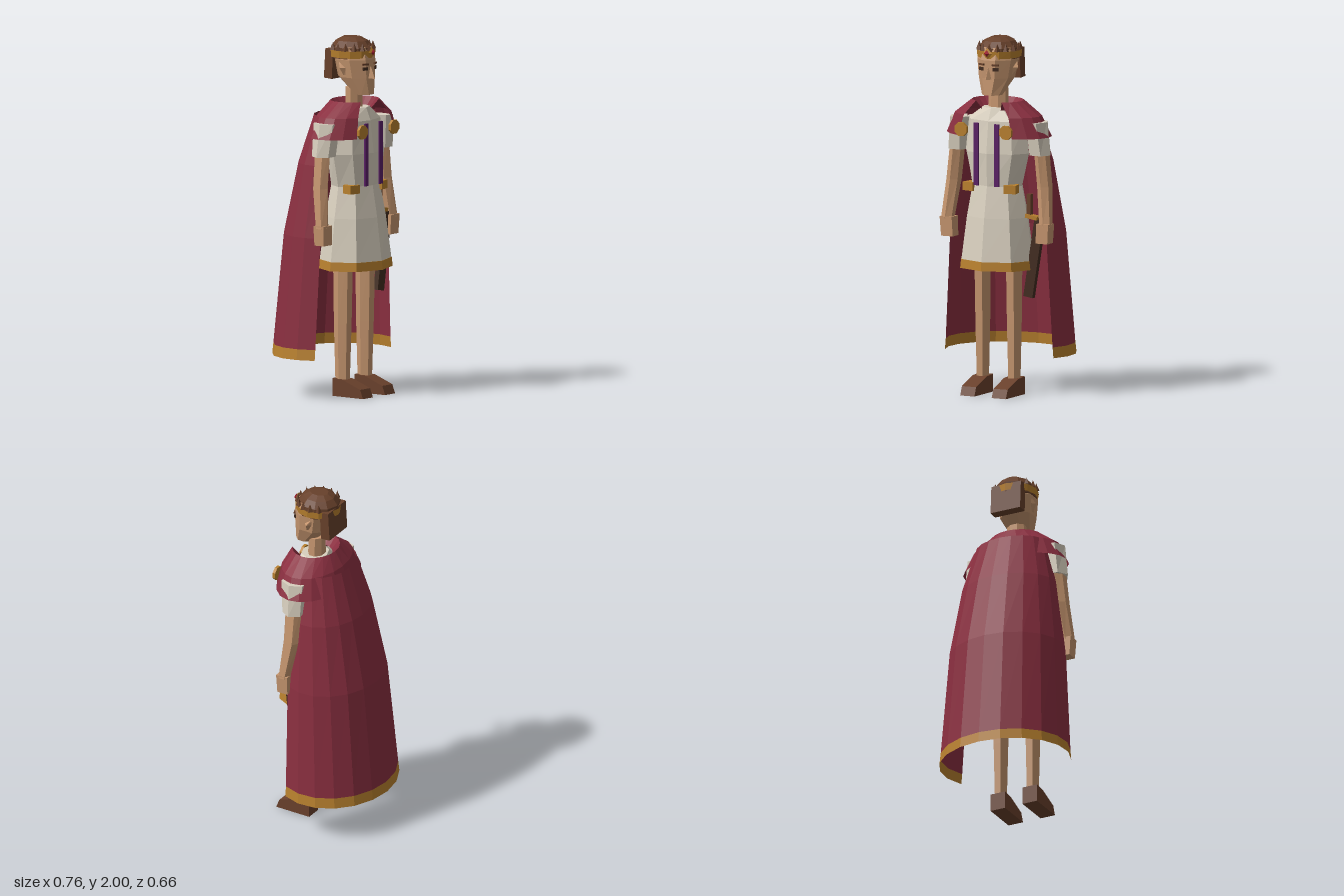
import * as THREE from 'three';

const mat = (name, color, open) => {
  const m = new THREE.MeshStandardMaterial({ color, flatShading: true });
  m.name = name;
  if (open) m.side = THREE.DoubleSide;
  return m;
};

// Skin through elliptical rings [y, radiusX, radiusZ, centreX, centreZ], listed bottom to top.
// A closed loft is capped; an arc (half-angle from the back) gives an open sheet.
function loft(rings, n, { phase = 0, arc = 0, cap = true } = {}) {
  const pos = [], idx = [], w = n + 1;
  for (const [y, a, b, cx = 0, cz = 0] of rings) {
    for (let j = 0; j <= n; j++) {
      const t = arc ? Math.PI - arc + (2 * arc * j) / n : phase + (2 * Math.PI * j) / n;
      pos.push(cx + a * Math.sin(t), y, cz + b * Math.cos(t));
    }
  }
  for (let i = 0; i < rings.length - 1; i++) {
    for (let j = 0; j < n; j++) {
      const p = i * w + j, q = p + w;
      idx.push(p, p + 1, q + 1, p, q + 1, q);
    }
  }
  if (cap && !arc) {
    const last = (rings.length - 1) * w;
    for (let j = 1; j < n - 1; j++) {
      idx.push(0, j + 1, j, last, last + j, last + j + 1);
    }
  }
  const g = new THREE.BufferGeometry();
  g.setAttribute('position', new THREE.Float32BufferAttribute(pos, 3));
  g.setIndex(idx);
  const flat = g.toNonIndexed();
  flat.computeVertexNormals();
  return flat;
}

export function createModel() {
  const root = new THREE.Group();
  root.name = 'cloakedRuler';

  const skin = mat('skin', 0xc6966f);
  const cloth = mat('tunic cloth', 0xd9d0bf);
  const red = mat('cloak red', 0x8a2f40, true);
  const gold = mat('gold', 0xb8802e, true);
  const purple = mat('purple', 0x5a1f66);
  const hair = mat('hair brown', 0x68412b);
  const leather = mat('shoe leather', 0x6a412c);
  const dark = mat('dark leather', 0x422c20);
  const gem = mat('gem red', 0xa01f30);

  const add = (name, geo, material, x = 0, y = 0, z = 0, rx = 0, ry = 0, rz = 0) => {
    const m = new THREE.Mesh(geo, material);
    m.name = name;
    m.position.set(x, y, z);
    m.rotation.set(rx, ry, rz);
    root.add(m);
    return m;
  };
  const box = (w, h, d) => new THREE.BoxGeometry(w, h, d);
  const deg = Math.PI / 180;

  // Tunic: bodice, flared skirt and gold hem
  add('bodice', loft([
    [1.17, 0.155, 0.12, 0, 0.14], [1.36, 0.2, 0.128, 0, 0.14],
    [1.54, 0.18, 0.105, 0, 0.14], [1.61, 0.085, 0.075, 0, 0.14],
  ], 8), cloth);
  add('skirt', loft([
    [0.76, 0.222, 0.183, 0, 0.14], [1.0, 0.19, 0.152, 0, 0.14], [1.18, 0.155, 0.12, 0, 0.14],
  ], 8), cloth);
  add('skirtHem', loft([[0.71, 0.23, 0.19, 0, 0.14], [0.76, 0.224, 0.185, 0, 0.14]], 8), gold);

  // Cloak: open sheet around the back, with a gold hem
  const hemTop = [0.28, 0.374, 0.313, 0, -0.011];
  add('cloak', loft([
    hemTop, [0.9, 0.336, 0.275, 0, 0.015],
    [1.3, 0.28, 0.211, 0, 0.041], [1.57, 0.21, 0.148, 0, 0.068],
  ], 12, { arc: 115 * deg }), red);
  add('cloakHem', loft([[0.22, 0.38, 0.317, 0, -0.013], hemTop], 12, { arc: 115 * deg }), gold);

  // Shoulder mantle, open at the chest: outer slope and inner collar
  add('mantle', loft([
    [1.455, 0.315, 0.198, 0, 0.118], [1.57, 0.26, 0.168, 0, 0.128], [1.65, 0.15, 0.125, 0, 0.135],
  ], 16, { arc: 147 * deg }), red);
  add('mantleCollar', loft([
    [1.6, 0.105, 0.085, 0, 0.135], [1.65, 0.15, 0.125, 0, 0.135],
  ], 16, { arc: 147 * deg }), red);

  // Parts in left and right pairs
  for (const s of [1, -1]) {
    const side = s > 0 ? 'left' : 'right';

    // Arm
    add(side + 'Sleeve', loft([
      [1.355, 0.068, 0.066, s * 0.257, 0.117], [1.54, 0.063, 0.078, s * 0.24, 0.125],
    ], 6, { phase: Math.PI / 6 }), cloth);
    add(side + 'Arm', loft([
      [0.96, 0.038, 0.036, s * 0.312, 0.148], [1.18, 0.041, 0.048, s * 0.288, 0.118],
      [1.42, 0.04, 0.052, s * 0.262, 0.115],
    ], 6), skin);
    add(side + 'Hand', loft([
      [0.865, 0.052, 0.046, s * 0.3, 0.146], [0.975, 0.054, 0.05, s * 0.306, 0.147],
    ], 4, { phase: Math.PI / 4 }), skin);

    // Leg
    add(side + 'Leg', loft([
      [0.08, 0.037, 0.042, s * 0.1, 0.127], [0.4, 0.044, 0.052, s * 0.1, 0.128],
      [0.8, 0.048, 0.06, s * 0.1, 0.13],
    ], 6, { phase: Math.PI / 6 }), skin);

    // Shoe: side profile extruded across the foot
    const profile = new THREE.Shape([
      [0.09, 0], [0.305, 0], [0.285, 0.05], [0.165, 0.094], [0.09, 0.1],
    ].map(([z, y]) => new THREE.Vector2(z, y)));
    const shoe = new THREE.ExtrudeGeometry(profile, { depth: 0.09, bevelEnabled: false });
    shoe.rotateY(-Math.PI / 2);
    add(side + 'Shoe', shoe, leather, s * 0.1 + 0.045);

    // Tunic stripe, belt end and cloak brooch
    add(side + 'Stripe', box(0.03, 0.35, 0.009), purple, s * 0.065, 1.355, 0.266);
    add(side + 'BeltEnd', box(0.07, 0.048, 0.065), gold, s * 0.127, 1.165, 0.21, 0, s * 0.2, 0);
    add(side + 'Brooch', new THREE.CylinderGeometry(0.041, 0.041, 0.016, 8), gold,
      s * 0.142, 1.493, 0.299, Math.PI / 2, Math.PI / 8, 0);

    // Face
    add(side + 'Eye', box(0.03, 0.018, 0.009), dark, s * 0.044, 1.832, 0.242, 0, s * 0.35, 0);
    add(side + 'Brow', box(0.04, 0.01, 0.009), hair, s * 0.044, 1.857, 0.244, 0, s * 0.35, 0);
    add(side + 'Ear', loft([
      [1.795, 0.006, 0.008, s * 0.095, 0.135], [1.835, 0.026, 0.026, s * 0.096, 0.125],
      [1.865, 0.008, 0.01, s * 0.098, 0.105],
    ], 4), skin);
  }

  // Head
  add('neck', loft([[1.57, 0.06, 0.048, 0, 0.13], [1.72, 0.056, 0.045, 0, 0.128]], 8,
    { phase: Math.PI / 8 }), skin);
  add('head', loft([
    [1.685, 0.058, 0.056, 0, 0.2], [1.78, 0.1, 0.108, 0, 0.146],
    [1.88, 0.115, 0.123, 0, 0.132], [1.95, 0.105, 0.11, 0, 0.125],
  ], 8, { phase: Math.PI / 8 }), skin);
  add('nose', loft([
    [1.775, 0.022, 0.032, 0, 0.243], [1.84, 0.005, 0.006, 0, 0.243],
  ], 4), skin);

  // Hair: cap, nape block and a ring of pointed locks
  add('hairCap', loft([
    [1.885, 0.117, 0.122, 0, 0.118], [1.945, 0.113, 0.12, 0, 0.116],
    [1.98, 0.085, 0.092, 0, 0.115], [2.0, 0.045, 0.055, 0, 0.115],
  ], 10), hair);
  add('napeHair', box(0.185, 0.165, 0.055), hair, 0, 1.848, 0.022, 0.06, 0, 0);
  for (let i = -5; i <= 5; i++) {
    const t = i * 24 * deg;
    add('lock', new THREE.ConeGeometry(0.018, 0.045, 4), hair,
      0.113 * Math.sin(t), 1.952, 0.117 + 0.118 * Math.cos(t), 0, t, 0);
  }

  // Circlet with a mounted gem
  add('circlet', loft([
    [1.89, 0.12, 0.129, 0, 0.118], [1.93, 0.124, 0.131, 0, 0.118],
  ], 12, { cap: false }), gold);
  add('gemMount', new THREE.OctahedronGeometry(0.032).scale(0.9, 1, 0.4), gold, 0, 1.92, 0.253);
  add('gem', new THREE.OctahedronGeometry(0.019).scale(0.9, 1, 0.6), gem, 0, 1.922, 0.264);

  // Sheathed sword at the left hip
  add('scabbard', box(0.058, 0.44, 0.03), dark, 0.238, 0.775, 0.145, 0, 0, -0.16);
  add('swordGuard', box(0.075, 0.022, 0.04), gold, 0.225, 1.008, 0.145, 0, 0, -0.16);
  add('swordGrip', box(0.026, 0.12, 0.026), hair, 0.207, 1.075, 0.145);

  return root;
}
